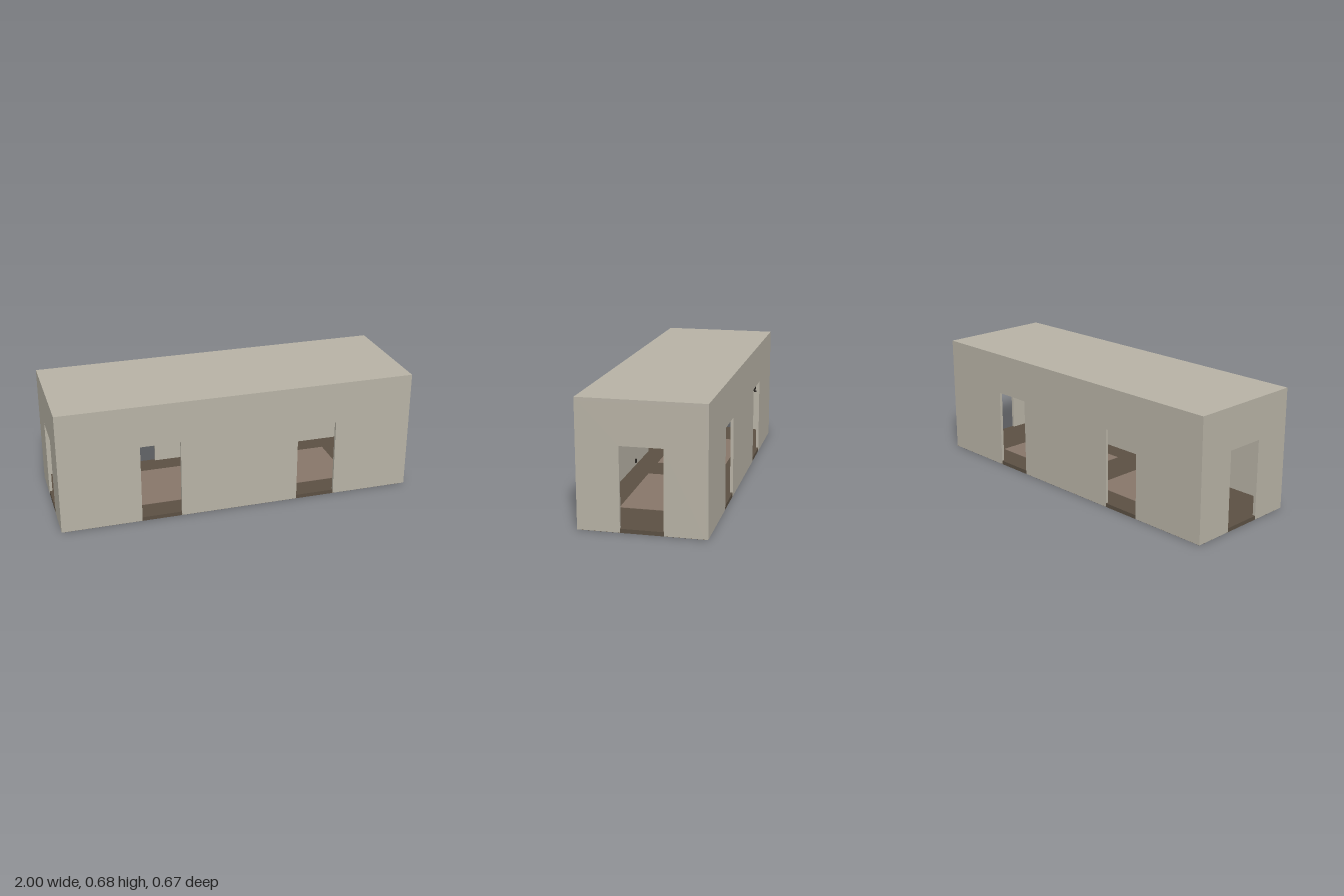
import * as THREE from 'three';

const W = 2, D = 0.667, H = 0.68, T = 0.016; // outer size and wall thickness
const FLOOR = 0.022, DOOR_W = 0.223, DOOR_H = 0.447, LIFT = 0.001;

function material(name, color) {
  const m = new THREE.MeshStandardMaterial({ color });
  m.name = name;
  return m;
}

export function createModel() {
  const plaster = material('plaster', 0xb7b2a5);
  const wood = material('dark wood', 0x5b5043);
  const rugCloth = material('rug cloth', 0x877669);
  const iron = material('dark iron', 0x2b2722);
  const model = new THREE.Group();
  model.name = 'hall';

  function box(name, mat, w, h, d, x, y, z, parent = model) {
    const mesh = new THREE.Mesh(new THREE.BoxGeometry(w, h, d), mat);
    mesh.name = name;
    mesh.position.set(x, y, z);
    parent.add(mesh);
    return mesh;
  }

  // Wall panel with doorways open at the bottom; its outer face looks along +z
  function wall(name, width, doors) {
    const s = new THREE.Shape();
    s.moveTo(-width / 2, LIFT);
    for (const c of doors) {
      s.lineTo(c - DOOR_W / 2, LIFT);
      s.lineTo(c - DOOR_W / 2, DOOR_H);
      s.lineTo(c + DOOR_W / 2, DOOR_H);
      s.lineTo(c + DOOR_W / 2, LIFT);
    }
    s.lineTo(width / 2, LIFT);
    s.lineTo(width / 2, H - T);
    s.lineTo(-width / 2, H - T);
    const geo = new THREE.ExtrudeGeometry(s, { depth: T, bevelEnabled: false });
    geo.translate(0, 0, -T);
    const mesh = new THREE.Mesh(geo, plaster);
    mesh.name = name;
    model.add(mesh);
    return mesh;
  }

  // Long walls with two doors, end walls with one
  const doors = [-0.445, 0.445];
  wall('frontWall', W, doors).position.z = D / 2;
  const back = wall('backWall', W, doors);
  back.rotation.y = Math.PI;
  back.position.z = -D / 2;
  for (const side of [1, -1]) {
    const end = wall(side > 0 ? 'leftWall' : 'rightWall', D - 2 * T, [0]);
    end.rotation.y = side * Math.PI / 2;
    end.position.x = side * W / 2;
  }

  // Flat roof and floor slab
  box('roof', plaster, W, T, D, 0, H - T / 2, 0);
  box('floor', wood, W - 2 * LIFT, FLOOR, D - 2 * LIFT, 0, FLOOR / 2, 0);

  // Two rugs
  for (const side of [1, -1]) {
    box(side > 0 ? 'leftRug' : 'rightRug', rugCloth, 0.59, 0.002, 0.4, side * 0.405, FLOOR + 0.001, 0);
  }

  // Wall fittings, repeated by half a turn
  for (const turn of [0, Math.PI]) {
    const fittings = new THREE.Group();
    fittings.name = turn ? 'backFittings' : 'frontFittings';
    const inner = D / 2 - T;
    box('socketPlate', iron, 0.02, 0.02, 0.008, -0.03, 0.05, inner - 0.004, fittings);
    box('lampPlate', iron, 0.02, 0.05, 0.006, 0.66, 0.37, inner - 0.003, fittings);
    box('lampArm', iron, 0.008, 0.008, 0.03, 0.66, 0.36, inner - 0.018, fittings);
    const cup = new THREE.Mesh(new THREE.CylinderGeometry(0.012, 0.008, 0.03, 8), iron);
    cup.name = 'lampCup';
    cup.position.set(0.66, 0.375, inner - 0.032);
    fittings.add(cup);
    fittings.rotation.y = turn;
    model.add(fittings);
  }
  return model;
}
